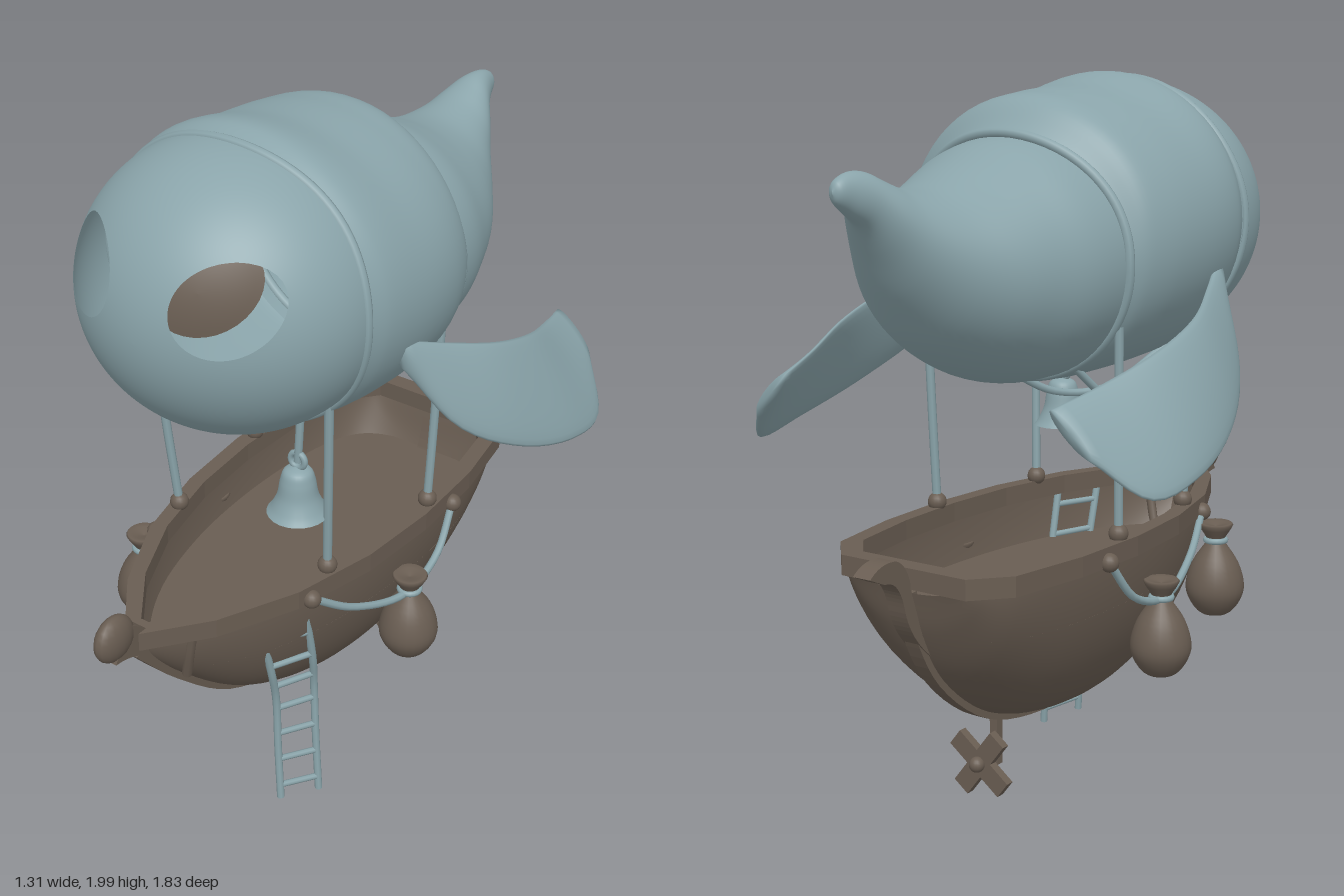
import * as THREE from 'three';

const blue = new THREE.MeshStandardMaterial({ color: 0x8aa4aa, side: THREE.DoubleSide });
const brown = new THREE.MeshStandardMaterial({ color: 0x695d52, side: THREE.DoubleSide });
const V = (x, y, z) => new THREE.Vector3(x, y, z);
const spline = (pts, closed = false) => new THREE.CatmullRomCurve3(pts.map(p => p.isVector3 ? p : V(...p)), closed);

export function createModel() {
  const root = new THREE.Group();
  const add = (name, geo, mat, x = 0, y = 0, z = 0) => {
    const m = new THREE.Mesh(geo, mat);
    m.name = name;
    m.position.set(x, y, z);
    root.add(m);
    return m;
  };

  // Surface from a rule fn(u, v); v can wrap round, skip() leaves triangles out
  const grid = (nu, nv, fn, wrap = true, skip = () => false) => {
    const pos = [], idx = [], cols = wrap ? nv : nv + 1;
    for (let i = 0; i <= nu; i++)
      for (let j = 0; j < cols; j++) pos.push(...fn(i / nu, j / nv).toArray());
    for (let i = 0; i < nu; i++)
      for (let j = 0; j < nv; j++) {
        const k = (j + 1) % cols;
        const a = i * cols + j, b = a + cols, c = (i + 1) * cols + k, d = i * cols + k;
        for (const t of [[a, b, d], [b, c, d]]) if (!skip(t)) idx.push(...t);
      }
    const g = new THREE.BufferGeometry();
    g.setAttribute('position', new THREE.Float32BufferAttribute(pos, 3));
    g.setIndex(idx);
    g.computeVertexNormals();
    return g;
  };
  const rope = (name, pts, r = 0.011, mat = blue, closed = false) =>
    add(name, new THREE.TubeGeometry(spline(pts, closed), closed ? 96 : 24, r, 8, closed), mat);
  const ball = (name, r, mat, x, y, z) => add(name, new THREE.SphereGeometry(r, 16, 12), mat, x, y, z);
  // Side silhouette given in (z, y), thickened across x
  const sideExtrude = (shape, w) => {
    const g = new THREE.ExtrudeGeometry(shape, { depth: w, bevelEnabled: false, curveSegments: 12 });
    return g.translate(0, 0, -w / 2).rotateY(-Math.PI / 2);
  };
  const lathe = (pts, n = 24) => new THREE.LatheGeometry(
    new THREE.SplineCurve(pts.map(p => new THREE.Vector2(...p))).getPoints(28).map(p => p.setX(Math.max(0, p.x))), n);

  // ---- Balloon: rings [z, half width, top, bottom] ----
  const balloonPoint = (st, warp = () => 0) => {
    const a = spline(st.map(s => V(s[0], s[1], s[2])));
    const b = spline(st.map(s => V(s[0], s[1], s[3])));
    return (u, v) => {
      const p = a.getPoint(u), q = b.getPoint(u), t = v * Math.PI * 2;
      return V(p.y * Math.cos(t), (p.z + q.z) / 2 + (p.z - q.z) / 2 * Math.sin(t), p.x + warp(u, t));
    };
  };

  // Head, an ellipsoid cap with two eye holes cut in its front projection
  const headZ = (x, y) => 0.31 + 0.4 * Math.sqrt(Math.max(0, 1 - (x / 0.41) ** 2 - ((y - 1.602) / 0.382) ** 2));
  const eye = { x: 0.205, y: 1.71, rx: 0.115, ry: 0.11 };
  const inside = [];
  const headPoint = (u, v) => {
    const f = u * Math.PI / 2, t = v * Math.PI * 2;
    const p = V(0.41 * Math.sin(f) * Math.cos(t), 1.602 + 0.382 * Math.sin(f) * Math.sin(t), 0.31 + 0.4 * Math.cos(f));
    const s = Math.sign(p.x) || 1;
    const ex = (Math.abs(p.x) - eye.x) / eye.rx, ey = (p.y - eye.y) / eye.ry, r = Math.hypot(ex, ey);
    inside.push(r < 1);
    if (r < 1) {
      const k = 1 / Math.max(r, 1e-4);
      p.set(s * (eye.x + ex * k * eye.rx), eye.y + ey * k * eye.ry, 0);
      p.z = headZ(p.x, p.y);
    }
    return p;
  };
  add('balloonHead', grid(56, 112, headPoint, true, t => t.every(i => inside[i])), blue);

  // Eyes, recessed behind the holes
  for (const s of [-1, 1])
    add('eye', grid(8, 32, (u, v) => {
      const t = v * Math.PI * 2;
      const x = eye.x + eye.rx * u * Math.cos(t), y = eye.y + eye.ry * u * Math.sin(t);
      return V(s * (x - 0.12), y - 0.01, headZ(x, y) - 0.07);
    }), brown);

  const middle = balloonPoint([[0.315, 0.405, 1.98, 1.22], [0.25, 0.43, 2.0, 1.2], [0.1, 0.443, 1.97, 1.19],
    [-0.05, 0.43, 1.955, 1.185], [-0.14, 0.4, 1.935, 1.185], [-0.19, 0.358, 1.85, 1.2]],
  (u, t) => u ** 4 * (-0.06 * Math.max(0, Math.sin(t)) ** 3 + 0.02 * Math.max(0, -Math.sin(t))));
  add('balloonMiddle', grid(32, 64, middle), blue);

  const tail = balloonPoint([[-0.12, 0.355, 1.845, 1.2], [-0.2, 0.355, 1.845, 1.195], [-0.3, 0.34, 1.83, 1.2], [-0.4, 0.305, 1.79, 1.225],
    [-0.5, 0.265, 1.75, 1.275], [-0.6, 0.205, 1.73, 1.35], [-0.7, 0.135, 1.74, 1.47], [-0.76, 0.095, 1.762, 1.57],
    [-0.81, 0.06, 1.782, 1.645], [-0.86, 0.036, 1.782, 1.68], [-0.9, 0.02, 1.765, 1.71], [-0.912, 0, 1.74, 1.735]]);
  add('balloonTail', grid(48, 64, tail), blue);

  // Rope seams between the balloon sections
  const ring = f => Array.from({ length: 48 }, (_, i) => f(i / 48));
  rope('frontSeam', ring(v => {
    const p = middle(0, v);
    p.z += 0.01 * Math.cos(v * Math.PI * 8);
    return p;
  }), 0.014, blue, true);
  rope('rearSeam', ring(v => middle(1, v)), 0.014, blue, true);

  // ---- Side fins: thin lofts between an upper and a lower edge ----
  const upper = spline([[0.4, 1.5, 0.18], [0.45, 1.45, 0.05], [0.505, 1.39, -0.12], [0.505, 1.33, -0.3], [0.46, 1.27, -0.48], [0.42, 1.23, -0.635]]);
  const lower = spline([[0.42, 1.42, 0.175], [0.53, 1.24, 0.08], [0.615, 1.12, -0.1], [0.655, 1.04, -0.33], [0.63, 1.015, -0.52], [0.53, 1.12, -0.63]]);
  const finGeo = grid(26, 24, (u, v) => {
    const w = THREE.MathUtils.clamp((u * 26 - 1) / 24, 0, 1), a = upper.getPoint(w), b = lower.getPoint(w);
    const t = v * Math.PI * 2, end = u === 0 || u === 1 ? 0 : 1;
    const p = a.clone().add(b).multiplyScalar(0.5);
    p.addScaledVector(a.sub(b), 0.5 * Math.sin(t) * end);
    return p.addScaledVector(V(0.92, 0.38, 0), 0.02 * Math.cos(t) * end);
  });
  add('leftFin', finGeo, blue);
  add('rightFin', finGeo, blue).scale.x = -1;

  // ---- Hull: sections (z, half width, keel height) ----
  const deckY = 0.76;
  const hull = spline([[0.77, 0.01, 0.72], [0.62, 0.13, 0.55], [0.4, 0.24, 0.36], [0.15, 0.3, 0.262], [-0.1, 0.32, 0.245],
    [-0.35, 0.31, 0.3], [-0.55, 0.275, 0.45], [-0.64, 0.225, 0.6], [-0.675, 0.18, 0.72]]);
  add('hull', grid(48, 32, (u, v) => {
    const s = hull.getPoint(u), t = Math.PI * (1 + v);
    return V(s.y * Math.cos(t), deckY + (deckY - s.z) * Math.sin(t), s.x);
  }, false), brown);

  // Deck inside the hull
  const floorY = 0.6, edge = [];
  for (const s of hull.getPoints(48)) {
    const f = (deckY - floorY) / (deckY - s.z);
    if (f < 1) edge.push([s.y * Math.sqrt(1 - f * f), s.x]);
  }
  const bothSides = pts => [...pts, ...pts.slice().reverse().map(([x, z]) => [-x, z])].map(([x, z]) => new THREE.Vector2(x, -z));
  add('deck', new THREE.ShapeGeometry(new THREE.Shape(bothSides(edge))).rotateX(-Math.PI / 2), brown, 0, floorY, 0);

  // Gunwale rail
  const plan = [[0.015, 0.79], [0.15, 0.62], [0.255, 0.4], [0.315, 0.15], [0.335, -0.1], [0.325, -0.35], [0.285, -0.59], [0.2, -0.685]];
  const rail = new THREE.Shape(bothSides(plan));
  rail.holes.push(new THREE.Path(bothSides(plan.map(([x, z]) => [x * 0.86, z * 0.92]))));
  add('rail', new THREE.ExtrudeGeometry(rail, { depth: 0.055, bevelEnabled: false }).rotateX(-Math.PI / 2), brown, 0, 0.733, 0);

  // Keel strip, bow scroll and stern horn
  const line = hull.getPoints(40);
  const offset = k => line.map(s => new THREE.Vector2(s.x * k, deckY + (s.z - deckY) * k));
  add('keel', sideExtrude(new THREE.Shape([...offset(1.03), ...offset(0.97).reverse()]), 0.045), brown);
  ball('bowScroll', 0.066, brown, 0, 0.808, 0.848).scale.set(0.53, 1, 1.03);
  const neck = new THREE.Shape();
  neck.moveTo(0.66, 0.6);
  neck.quadraticCurveTo(0.76, 0.74, 0.87, 0.745);
  neck.lineTo(0.82, 0.84);
  neck.quadraticCurveTo(0.75, 0.8, 0.7, 0.73);
  add('bowNeck', sideExtrude(neck, 0.045), brown);
  const horn = new THREE.Shape();
  horn.moveTo(-0.6, 0.53);
  horn.quadraticCurveTo(-0.69, 0.6, -0.71, 0.69);
  horn.quadraticCurveTo(-0.73, 0.77, -0.785, 0.77);
  horn.lineTo(-0.84, 0.795);
  horn.quadraticCurveTo(-0.8, 0.83, -0.74, 0.82);
  horn.quadraticCurveTo(-0.69, 0.8, -0.68, 0.72);
  horn.lineTo(-0.64, 0.6);
  add('sternHorn', sideExtrude(horn, 0.055), brown);

  // Propeller under the stern
  add('propellerBracket', new THREE.BoxGeometry(0.025, 0.16, 0.025), brown, 0, 0.21, -0.29);
  add('propellerShaft', new THREE.CylinderGeometry(0.01, 0.01, 0.1, 10).rotateX(Math.PI / 2), brown, 0, 0.155, -0.34);
  ball('propellerHub', 0.022, brown, 0, 0.155, -0.38);
  for (const a of [0.65, 0.65 + Math.PI / 2])
    add('propellerBlades', new THREE.BoxGeometry(0.2, 0.055, 0.025), brown, 0, 0.155, -0.36).rotation.z = a;

  // Sandbag, origin at its tied top
  const bagGeo = lathe([[0, -0.275], [0.045, -0.265], [0.078, -0.22], [0.084, -0.175], [0.066, -0.115], [0.03, -0.06], [0.026, -0.045], [0.05, 0], [0, -0.01]]);
  const bag = (x, y, z) => {
    add('sandbag', bagGeo, brown, x, y, z);
    add('sandbagTie', new THREE.TorusGeometry(0.028, 0.009, 8, 20).rotateX(Math.PI / 2), blue, x, y - 0.05, z);
  };

  // Rigging on both sides
  for (const s of [-1, 1]) {
    ball('ropePost', 0.027, brown, s * 0.255, 0.802, 0.27);
    ball('ropePost', 0.027, brown, s * 0.305, 0.802, -0.15);
    rope('stay', [[s * 0.255, 0.8, 0.27], [s * 0.27, 1.05, 0.29], [s * 0.285, 1.34, 0.31]], 0.0125);
    rope('stay', [[s * 0.305, 0.8, -0.15], [s * 0.31, 1.05, -0.16], [s * 0.315, 1.36, -0.17]], 0.0125);
    ball('railKnob', 0.026, brown, s * 0.268, 0.747, 0.36);
    ball('railKnob', 0.026, brown, s * 0.335, 0.747, -0.24);
    rope('swag', [[s * 0.268, 0.747, 0.36], [s * 0.31, 0.65, 0.22], [s * 0.35, 0.59, 0.02], [s * 0.35, 0.63, -0.14], [s * 0.335, 0.747, -0.24]]);
    bag(s * 0.35, 0.645, 0);
    rope('bowBrace', [[s * 0.1, 0.74, 0.66], [s * 0.085, 0.67, 0.655], [s * 0.06, 0.58, 0.64]], 0.014, brown);
  }
  bag(-0.315, 0.72, 0.36);

  // Slack ropes under the balloon
  rope('slackRope', [[-0.28, 1.28, 0.3], [-0.235, 1.12, 0.12], [-0.2, 1.12, 0], [-0.16, 1.25, -0.17]]);
  rope('slackRope', [[-0.18, 1.24, 0.3], [-0.08, 1.13, 0.15], [0, 1.13, 0], [0.06, 1.22, -0.17]]);

  // Bell
  rope('bellRope', [[0.19, 1.29, 0.3], [0.185, 1.2, 0.3], [0.18, 1.12, 0.3]], 0.011);
  add('bellRing', new THREE.TorusGeometry(0.022, 0.009, 8, 20), blue, 0.18, 1.125, 0.3);
  add('bell', lathe([[0.084, 0.965], [0.07, 0.985], [0.055, 1.02], [0.047, 1.065], [0.035, 1.095], [0, 1.108]]), blue, 0.18, 0, 0.3);
  ball('bellClapper', 0.03, blue, 0.18, 0.975, 0.3);

  // Rope ladder
  const front = [[0.18, 0.74, 0.49], [0.182, 0.5, 0.43], [0.175, 0.38, 0.4], [0.18, 0.2, 0.4], [0.195, 0.03, 0.41]];
  const back = [[0.24, 0.74, 0.365], [0.235, 0.5, 0.31], [0.222, 0.38, 0.285], [0.232, 0.2, 0.29], [0.25, 0.01, 0.3]];
  rope('ladderSide', front);
  rope('ladderSide', back);
  for (let i = 0; i < 8; i++) {
    const t = 0.06 + i * 0.126, a = spline(front).getPointAt(t), b = spline(back).getPointAt(t);
    rope('ladderRung', [a, b], 0.009);
  }
  return root;
}
